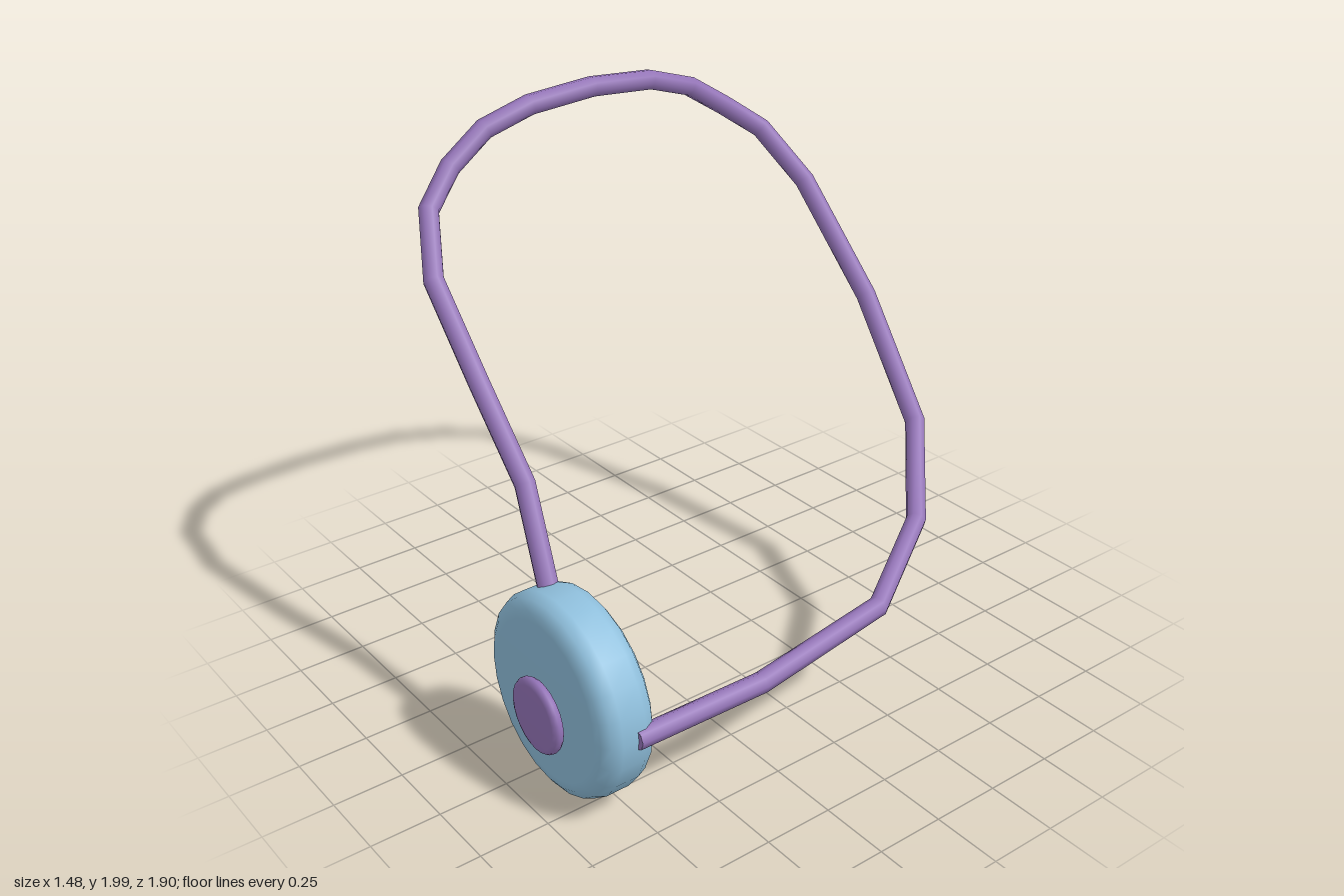
import * as THREE from 'three';

// Straight-segment path, one tube ring per knot
class KnotPath extends THREE.Curve {
  constructor(points) { super(); this.points = points; }
  getPoint(t, target = new THREE.Vector3()) {
    const n = this.points.length - 1;
    const f = Math.min(Math.max(t, 0), 1) * n;
    const i = Math.min(Math.floor(f), n - 1);
    return target.lerpVectors(this.points[i], this.points[i + 1], f - i);
  }
  getPointAt(u, target) { return this.getPoint(u, target); }
  getTangentAt(u, target) { return this.getTangent(u, target); }
}

// Disc with rounded rim, its axis along z; profile is [radius, z] from back to front
function makeDisc(name, profile, segments, material, x, y) {
  const geometry = new THREE.LatheGeometry(profile.map(p => new THREE.Vector2(...p)), segments);
  geometry.rotateX(Math.PI / 2);
  const mesh = new THREE.Mesh(geometry, material);
  mesh.name = name;
  mesh.position.set(x, y, 0);
  return mesh;
}

export function createModel() {
  const model = new THREE.Group();
  const blue = new THREE.MeshStandardMaterial({ color: 0x8fbfdc });
  const purple = new THREE.MeshStandardMaterial({ color: 0x9474b8 });

  // Round pendant body and the button on its front
  model.add(makeDisc('pendantBody', [
    [0, 0.70], [0.28, 0.70], [0.31, 0.705], [0.34, 0.725], [0.355, 0.76],
    [0.355, 0.847], [0.34, 0.882], [0.31, 0.902], [0.28, 0.907], [0, 0.907],
  ], 24, blue, 0.36, 0.365));
  model.add(makeDisc('button', [
    [0, 0.91], [0.112, 0.91], [0.127, 0.917], [0.133, 0.926],
    [0.133, 0.936], [0.127, 0.946], [0.112, 0.952], [0, 0.952],
  ], 24, purple, 0.36, 0.32));

  // Cord loop from the top of the body round to its left side
  const knots = [
    [0.22, 0.68, 0.785], [0.04, 0.96, 0.742], [-0.2, 1.23, 0.75], [-0.47, 1.5, 0.742],
    [-0.63, 1.68, 0.655], [-0.69, 1.79, 0.53], [-0.705, 1.89, 0.38], [-0.695, 1.945, 0.2],
    [-0.695, 1.963, -0.06], [-0.695, 1.945, -0.31], [-0.705, 1.885, -0.5], [-0.69, 1.79, -0.65],
    [-0.63, 1.69, -0.785], [-0.465, 1.51, -0.867], [-0.15, 1.13, -0.915], [0.195, 0.75, -0.865],
    [0.46, 0.53, -0.63], [0.655, 0.405, -0.27], [0.703, 0.36, 0.29], [0.7, 0.365, 0.79],
  ].map(p => new THREE.Vector3(...p));
  const path = new KnotPath(knots);
  const radius = 0.037;
  const cord = new THREE.Group();
  cord.name = 'cord';
  const loop = new THREE.Mesh(new THREE.TubeGeometry(path, knots.length - 1, radius, 8, false), purple);
  loop.name = 'cordLoop';
  cord.add(loop);

  // Flat caps on the cord ends
  for (const [u, sign] of [[0, -1], [1, 1]]) {
    const cap = new THREE.Mesh(new THREE.CircleGeometry(radius, 8), purple);
    cap.name = 'cordEnd';
    cap.position.copy(path.getPoint(u));
    cap.quaternion.setFromUnitVectors(new THREE.Vector3(0, 0, 1), path.getTangent(u).multiplyScalar(sign));
    cord.add(cap);
  }
  model.add(cord);
  return model;
}
